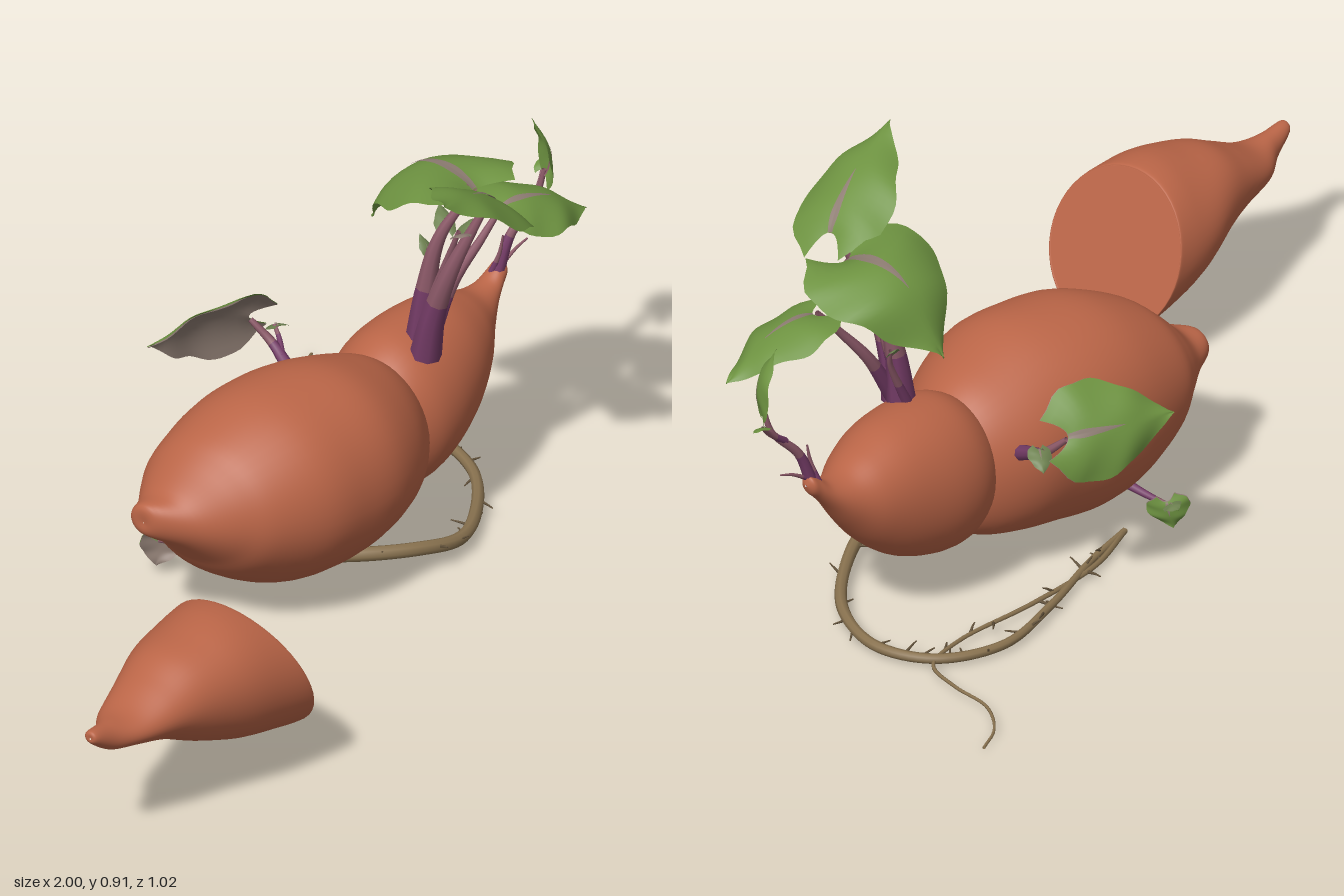
import * as THREE from 'three';

const V = (p) => new THREE.Vector3(...p);
const lerp = THREE.MathUtils.lerp;

// Surface from a grid of points, rows x cols, optionally closed across the columns
function grid(rows, cols, closed, point) {
  const pos = [], idx = [];
  for (let i = 0; i < rows; i++) for (let j = 0; j < cols; j++) pos.push(...point(i / (rows - 1), j / (closed ? cols : cols - 1)));
  for (let i = 0; i < rows - 1; i++) for (let j = 0; j < (closed ? cols : cols - 1); j++) {
    const k = (j + 1) % cols, a = i * cols + j, b = i * cols + k, c = a + cols, d = b + cols;
    idx.push(a, b, c, b, d, c);
  }
  const g = new THREE.BufferGeometry();
  g.setAttribute('position', new THREE.Float32BufferAttribute(pos, 3));
  g.setIndex(idx);
  g.computeVertexNormals();
  return g;
}

// Value on a smooth curve through evenly spaced samples
function sample(list, t) {
  const f = t * (list.length - 1), i = Math.min(Math.floor(f), list.length - 2), u = f - i;
  const p = (k) => list[Math.max(0, Math.min(list.length - 1, k))];
  const a = p(i - 1), b = p(i), c = p(i + 1), d = p(i + 2);
  return b + 0.5 * u * (c - a + u * (2 * a - 5 * b + 4 * c - d + u * (3 * (b - c) + d - a)));
}

// Point on a tuber; each section is [x, top, bottom, back z, front z, shear of the ring]; sag pushes the belly backward
function tuberPoint(sections, lump, sag = 0) {
  return (t, v) => {
    const [x, top, bottom, back, front, shear] = [0, 1, 2, 3, 4, 5].map((k) => sample(sections.map((s) => s[k] || 0), t));
    const a = v * Math.PI * 2;
    const r = 1 + lump * Math.sin(t * Math.PI) * (Math.sin(3 * a + 9 * t) + 0.7 * Math.sin(17 * t + 2 * a));
    const dy = (top - bottom) / 2 * Math.cos(a) * r;
    const z = (back + front) / 2 + (front - back) / 2 * Math.sin(a) * r - sag * Math.min(dy, 0) ** 2;
    return [x - shear * dy, (top + bottom) / 2 + dy, z];
  };
}

const BIG = [
  [-0.25, 0.3, 0.298, -0.092, -0.09], [-0.247, 0.335, 0.27, -0.125, -0.055], [-0.2, 0.352, 0.235, -0.145, 0.02],
  [-0.15, 0.405, 0.185, -0.175, 0.09], [-0.1, 0.447, 0.13, -0.2, 0.145], [0, 0.49, 0.072, -0.215, 0.205],
  [0.1, 0.504, 0.052, -0.21, 0.225], [0.2, 0.5, 0.06, -0.19, 0.23], [0.3, 0.465, 0.08, -0.17, 0.205],
  [0.38, 0.425, 0.105, -0.13, 0.16], [0.43, 0.37, 0.15, -0.08, 0.11], [0.45, 0.28, 0.26, -0.01, 0.01]];
const SMALL = [
  [0.33, 0.29, 0.27, -0.01, 0.01], [0.36, 0.39, 0.16, -0.09, 0.11], [0.42, 0.44, 0.11, -0.13, 0.15],
  [0.5, 0.455, 0.112, -0.14, 0.153], [0.6, 0.452, 0.15, -0.125, 0.13], [0.68, 0.43, 0.212, -0.1, 0.095],
  [0.74, 0.407, 0.28, -0.065, 0.055], [0.785, 0.407, 0.34, -0.04, 0.03], [0.815, 0.425, 0.375, -0.028, 0.02],
  [0.835, 0.435, 0.395, -0.022, 0.014], [0.843, 0.418, 0.414, -0.006, 0]];
const PIECE = [
  [-1, 0.305, 0.301, 0.338, 0.342], [-0.994, 0.318, 0.288, 0.322, 0.355], [-0.94, 0.313, 0.25, 0.305, 0.368],
  [-0.88, 0.315, 0.235, 0.268, 0.395], [-0.8, 0.348, 0.21, 0.243, 0.428, 0.1], [-0.72, 0.382, 0.165, 0.22, 0.456, 0.2],
  [-0.63, 0.398, 0.12, 0.192, 0.485, 0.3], [-0.55, 0.405, 0.097, 0.175, 0.503, 0.38],
  [-0.49, 0.405, 0.083, 0.17, 0.511, 0.41], [-0.484, 0.401, 0.087, 0.174, 0.507, 0.41]];

// Tapered tube along a smooth path; a second material starts at the given share of its length
function taperedTube(points, r0, r1, sides = 8, split = 1) {
  const n = points.length * 8, curve = new THREE.CatmullRomCurve3(points.map(V));
  const g = new THREE.TubeGeometry(curve, n, 1, sides, false), p = g.attributes.position, v = new THREE.Vector3();
  for (let i = 0; i < p.count; i++) {
    const t = Math.floor(i / (sides + 1)) / n, c = curve.getPointAt(t);
    v.fromBufferAttribute(p, i).sub(c).multiplyScalar(lerp(r0, r1, t ** 0.9)).add(c);
    p.setXYZ(i, v.x, Math.max(v.y, 0), v.z);
  }
  if (split < 1) {
    const cut = Math.round(n * split) * sides * 6;
    g.addGroup(0, cut, 0);
    g.addGroup(cut, g.index.count - cut, 1);
  }
  return g;
}

// Heart-shaped, arched blade; reach and spread limit it to a strip along the midrib, shift lifts it off the surface
function leafBlade(base, tip, up, half, arch, shift = 0, reach = 1, spread = 1) {
  const b = V(base), d = V(tip).sub(b), len = d.length(), dir = d.clone().normalize();
  const n = V(up).addScaledVector(dir, -V(up).dot(dir)).normalize(), side = dir.clone().cross(n);
  const widths = [0.4, 0.88, 1, 0.97, 0.85, 0.67, 0.46, 0.23, 0];
  return grid(22, 13, false, (s, v) => {
    const t = s * reach, u = (v * 2 - 1) * spread * (spread < 1 ? 1.05 - s : 1);
    const w = sample(widths, t) * half * (1 + 0.03 * Math.sin(t * 20));
    const along = len * (t - 0.2 * u * u * (1 - t) ** 3);
    const lift = arch * Math.sin(Math.PI * t ** 0.75) - 0.32 * w * u * u + 0.05 * half * Math.abs(u) * Math.sin(t * 14 + u) + shift;
    return b.clone().addScaledVector(dir, along).addScaledVector(side, u * w).addScaledVector(n, lift).toArray();
  });
}

export function createModel() {
  const model = new THREE.Group();
  const mat = (name, color, side = THREE.FrontSide) => {
    const m = new THREE.MeshStandardMaterial({ color, side });
    m.name = name;
    return m;
  };
  const skin = mat('orange skin', 0xba6547);
  const green = mat('leaf green', 0x6e9341, THREE.DoubleSide);
  const dull = mat('young leaf green', 0x6d8150, THREE.DoubleSide);
  const grey = mat('leaf underside grey', 0x8d7c72, THREE.DoubleSide);
  const purple = mat('stem purple', 0x753c67, THREE.DoubleSide);
  const mauve = mat('stem mauve', 0x8d5a69, THREE.DoubleSide);
  const tan = mat('root tan', 0x8a7350, THREE.DoubleSide);
  const dark = mat('fine root brown', 0x65543c, THREE.DoubleSide);
  const add = (name, geometry, material, parent = model) => {
    const m = new THREE.Mesh(geometry, material);
    m.name = name;
    parent.add(m);
  };

  // Tubers and the cut end piece
  add('largeTuber', grid(64, 48, true, tuberPoint(BIG, 0.01, 0.8)), skin);
  add('smallTuber', grid(56, 48, true, tuberPoint(SMALL, 0.008)), skin);
  const piecePoint = tuberPoint(PIECE, 0.02);
  add('cutPiece', grid(56, 48, true, piecePoint), skin);
  add('cutFace', grid(2, 48, true, (t, v) => piecePoint(1, v).map((c, k) => lerp(c, [-0.484, 0.244, 0.3405][k], t))), skin);

  // Sprouts: stems as [points, start radius, end radius]
  const sprouts = {
    topSprout: [
      [[[0.465, 0.42, 0.085], [0.465, 0.52, 0.105], [0.475, 0.64, 0.145], [0.52, 0.79, 0.2]], 0.034, 0.007],
      [[[0.49, 0.42, 0.05], [0.5, 0.55, 0.06], [0.52, 0.67, 0.08], [0.57, 0.775, 0.13]], 0.032, 0.006],
      [[[0.48, 0.43, 0.08], [0.55, 0.55, 0.09], [0.61, 0.63, 0.115], [0.66, 0.69, 0.13]], 0.02, 0.006],
      [[[0.47, 0.45, 0.07], [0.49, 0.58, 0.1], [0.49, 0.72, 0.15]], 0.018, 0.005],
      [[[0.5, 0.45, 0.03], [0.55, 0.56, 0.03], [0.56, 0.6, 0.02]], 0.012, 0.004]],
    tipSprout: [
      [[[0.82, 0.41, 0], [0.85, 0.49, 0.01], [0.91, 0.56, 0.03], [0.925, 0.62, 0.04]], 0.014, 0.005],
      [[[0.88, 0.53, 0.02], [0.93, 0.57, 0.02], [0.96, 0.6, 0.01]], 0.008, 0.004],
      [[[0.81, 0.41, -0.01], [0.82, 0.46, 0.005], [0.825, 0.5, 0.01]], 0.008, 0.002],
      [[[0.82, 0.42, 0], [0.87, 0.45, 0.01], [0.9, 0.46, 0.015]], 0.006, 0.002]],
    backSprout: [
      [[[0.33, 0.31, -0.11], [0.35, 0.34, -0.17], [0.37, 0.375, -0.23], [0.36, 0.42, -0.28]], 0.02, 0.006],
      [[[0.36, 0.36, -0.2], [0.39, 0.38, -0.23], [0.4, 0.4, -0.25]], 0.008, 0.004]],
    lowSprout: [
      [[[0.02, 0.11, -0.12], [0.01, 0.095, -0.18], [0, 0.085, -0.24]], 0.011, 0.005]]
  };
  for (const [name, stems] of Object.entries(sprouts)) {
    const g = new THREE.Group();
    g.name = name;
    model.add(g);
    const split = name === 'backSprout' || name === 'lowSprout' ? 0.7 : 0.35;
    for (const [points, r0, r1] of stems) add('stem', taperedTube(points, r0, r1, 8, split), [purple, mauve], g);
  }

  // Leaves: material, base, tip, up direction, half width, arch; the last flag gives a grey underside
  const leaves = [
    ['topSprout', green, [0.53, 0.79, 0.21], [0.28, 0.92, 0.27], [0.45, 1, 0.1], 0.108, 0.025],
    ['topSprout', green, [0.57, 0.775, 0.13], [0.55, 0.63, -0.115], [0.1, 1, -0.1], 0.155, 0.085],
    ['topSprout', green, [0.67, 0.69, 0.13], [0.88, 0.6, 0.18], [0.2, 1, 0.25], 0.1, 0.028],
    ['topSprout', dull, [0.56, 0.59, 0.02], [0.57, 0.62, -0.01], [0, 1, 0.5], 0.015, 0.004],
    ['tipSprout', green, [0.92, 0.61, 0.045], [0.895, 0.75, 0.03], [0.8, 0.2, 0.55], 0.042, 0.022],
    ['tipSprout', green, [0.95, 0.595, 0.01], [1, 0.61, 0], [0, 1, 0.3], 0.016, 0.005],
    ['backSprout', green, [0.36, 0.43, -0.285], [0.14, 0.425, -0.375], [0.2, 0.45, -0.85], 0.105, 0.02, true],
    ['backSprout', dull, [0.4, 0.4, -0.24], [0.43, 0.37, -0.28], [0.3, 0.8, -0.5], 0.025, 0.005],
    ['lowSprout', green, [0.005, 0.095, -0.235], [-0.01, 0.03, -0.24], [0.65, -0.3, -0.65], 0.045, 0.006, true],
    ['lowSprout', dull, [0, 0.09, -0.24], [0.02, 0.1, -0.28], [0.5, 1, -0.3], 0.02, 0.005]
  ];
  for (const [parent, material, base, tip, up, half, arch, twoTone] of leaves) {
    const g = model.getObjectByName(parent);
    add('leaf', leafBlade(base, tip, up, half, arch), material, g);
    add('midrib', leafBlade(base, tip, up, half, arch, 0.002, 0.5, 0.12), grey, g);
    if (twoTone) add('leafUnderside', leafBlade(base, tip, up, half, arch, -0.003), grey, g);
    else add('midribUnderside', leafBlade(base, tip, up, half, arch, -0.002, 0.5, 0.12), mauve, g);
  }
  // Unopened leaflets among the upper stems
  for (const [x, y, z, dx, dz, m] of [[0.49, 0.71, 0.15, -0.03, 0.05, grey], [0.5, 0.71, 0.15, 0.04, 0.02, dull], [0.53, 0.68, 0.09, 0.04, -0.05, dull]])
    add('leaflet', leafBlade([x, y, z], [x + dx, y + 0.03, z + dz], [0, 1, 0], 0.022, 0.006), m, model.getObjectByName('topSprout'));

  // Trailing root with a thin tail
  const rootPath = [[0.12, 0.07, -0.04], [0.2, 0.078, 0.1], [0.31, 0.07, 0.185], [0.42, 0.048, 0.205], [0.55, 0.036, 0.15],
    [0.68, 0.03, 0.04], [0.735, 0.027, -0.1], [0.69, 0.026, -0.22], [0.56, 0.026, -0.285], [0.38, 0.027, -0.255],
    [0.2, 0.027, -0.2], [0.06, 0.026, -0.17]];
  const tailPath = [[0.06, 0.026, -0.17], [0.2, 0.025, -0.215], [0.4, 0.025, -0.22], [0.6, 0.024, -0.205], [0.71, 0.024, -0.23],
    [0.745, 0.025, -0.32], [0.76, 0.024, -0.42], [0.81, 0.018, -0.485], [0.87, 0.012, -0.51]];
  add('mainRoot', taperedTube(rootPath, 0.017, 0.007), tan);
  add('rootTail', taperedTube(tailPath, 0.0065, 0.003, 6), tan);

  // Fine rootlets scattered along the root and its tail
  let seed = 7;
  const rand = () => (seed = (seed * 16807) % 2147483647) / 2147483647;
  for (const [path, count, end] of [[rootPath, 32, 0.98], [tailPath, 7, 0.6]]) {
    const curve = new THREE.CatmullRomCurve3(path.map(V));
    for (let i = 0; i < count; i++) {
      const p = curve.getPointAt(lerp(0.1, end, (i + rand()) / count)), a = rand() * Math.PI * 2, l = 0.022 + 0.033 * rand();
      const h = (rand() - 0.4) * 0.032;
      const at = (k, rise) => [p.x + Math.cos(a + rise * 8) * l * k, Math.max(0.003, p.y + rise), p.z + Math.sin(a + rise * 8) * l * k];
      add('rootlet', taperedTube([at(0, 0), at(0.6, h * 0.7), at(1, h)], 0.004, 0.0015, 5), dark);
    }
  }
  return model;
}
